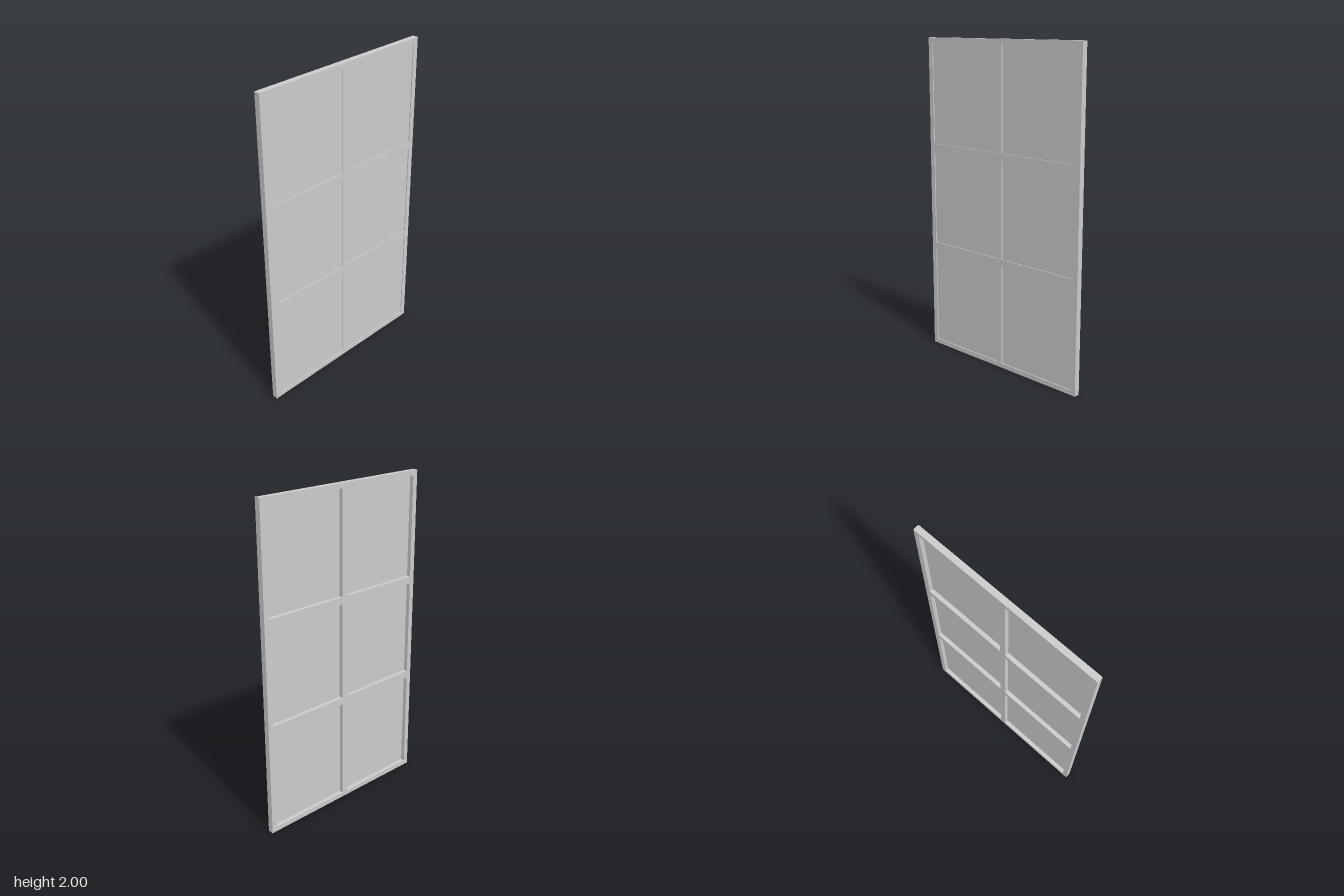
import * as THREE from 'three';

const H = 2, W = 1.19, T = 0.036;   // height, width (along z), thickness (along x)
const STILE = 0.033, RAIL = 0.03, MULLION = 0.04, BAR = 0.045;
const PANE_IN = -T / 2 + 0.025, PANE_OUT = T / 2 - 0.006;

// Openings: two columns, three rows
const cols = [[-W / 2 + STILE, -MULLION / 2], [MULLION / 2, W / 2 - STILE]];
const low = 0.678, high = H - low;
const rows = [
  [RAIL, low - BAR / 2],
  [low + BAR / 2, high - BAR / 2],
  [high + BAR / 2, H - RAIL],
];

function rectangle(target, z0, z1, y0, y1) {
  target.moveTo(z0, y0);
  target.lineTo(z1, y0);
  target.lineTo(z1, y1);
  target.lineTo(z0, y1);
  target.closePath();
  return target;
}

export function createModel() {
  const group = new THREE.Group();
  group.name = 'windowPanel';
  const material = new THREE.MeshStandardMaterial({ color: 0xcccccc });

  // Frame with its glazing bars, one slab pierced by six openings
  const outline = rectangle(new THREE.Shape(), -W / 2, W / 2, 0, H);
  for (const [z0, z1] of cols) {
    for (const [y0, y1] of rows) {
      outline.holes.push(rectangle(new THREE.Path(), z0, z1, y0, y1));
    }
  }
  const frameGeometry = new THREE.ExtrudeGeometry(outline, { depth: T, bevelEnabled: false });
  frameGeometry.translate(0, 0, -T / 2);
  frameGeometry.rotateY(Math.PI / 2);
  const frame = new THREE.Mesh(frameGeometry, material);
  frame.name = 'frame';
  group.add(frame);

  // Thin panes, set close to the +x face and deep behind the -x face
  const panes = new THREE.Group();
  panes.name = 'panes';
  for (const [z0, z1] of cols) {
    for (const [y0, y1] of rows) {
      const pane = new THREE.Mesh(
        new THREE.BoxGeometry(PANE_OUT - PANE_IN, y1 - y0, z1 - z0), material);
      pane.position.set((PANE_IN + PANE_OUT) / 2, (y0 + y1) / 2, (z0 + z1) / 2);
      pane.name = 'pane';
      panes.add(pane);
    }
  }
  group.add(panes);
  return group;
}
